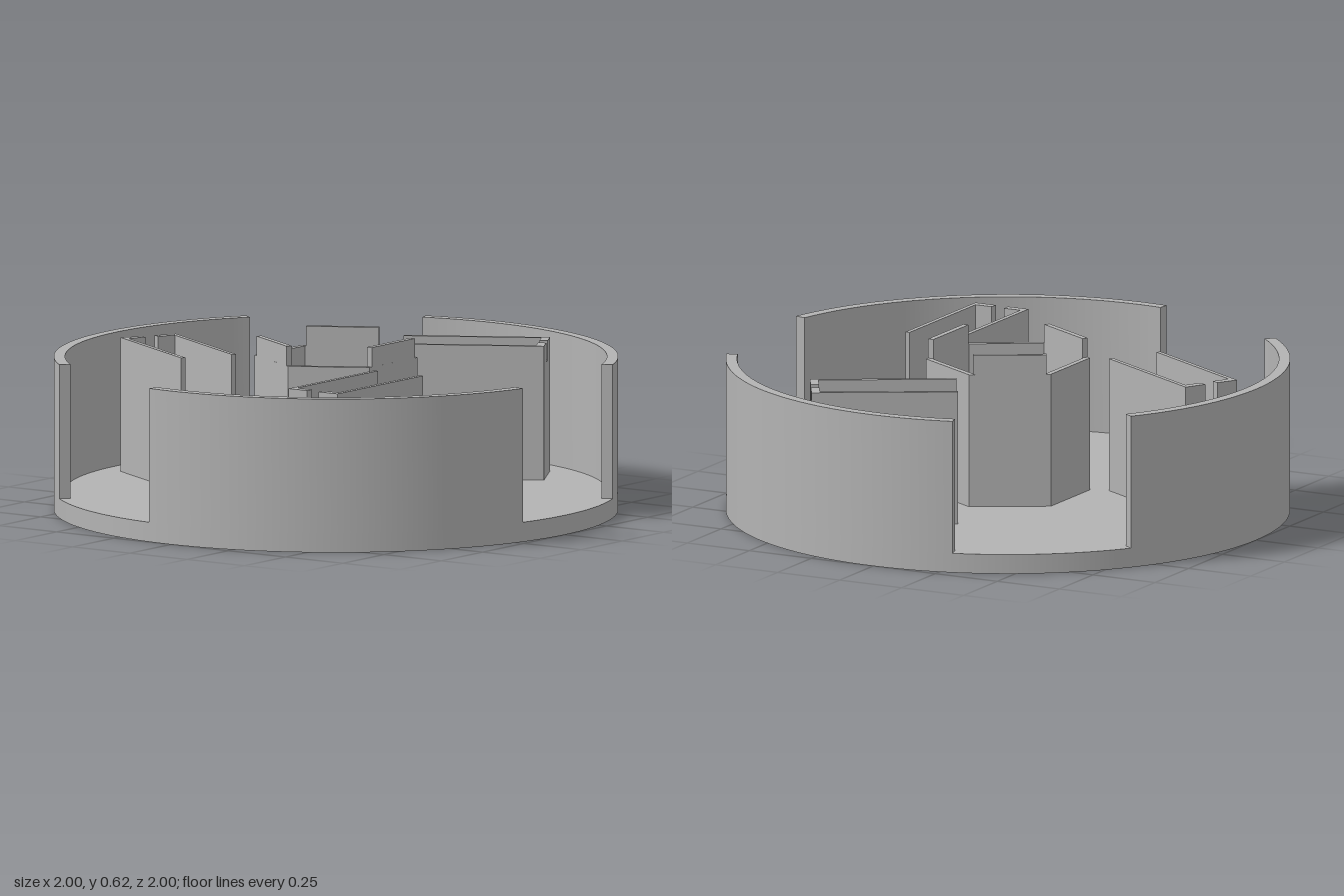
import * as THREE from 'three';
import { toCreasedNormals } from 'three/addons/utils/BufferGeometryUtils.js';

const FLOOR = 0.07, RIM = 0.55, CROWN = 0.62;
const rad = THREE.MathUtils.degToRad;

export function createModel() {
  const grey = new THREE.MeshStandardMaterial({ color: 0xb3b3b3 });
  grey.name = 'plain grey';
  const model = new THREE.Group();
  model.name = 'roundHousing';

  const add = (parent, name, geometry) => {
    const mesh = new THREE.Mesh(geometry, grey);
    mesh.name = name;
    parent.add(mesh);
    return mesh;
  };
  // Box given by its limits on each axis
  const addBox = (parent, name, x0, x1, y0, y1, z0, z1) =>
    add(parent, name, new THREE.BoxGeometry(x1 - x0, y1 - y0, z1 - z0))
      .position.set((x0 + x1) / 2, (y0 + y1) / 2, (z0 + z1) / 2);
  // Plan outline (x, z) raised between two heights
  const raise = (shape, y0, y1) => {
    const g = new THREE.ExtrudeGeometry(shape, { depth: y1 - y0, bevelEnabled: false, curveSegments: 40 });
    return toCreasedNormals(g.rotateX(Math.PI / 2).translate(0, y1, 0), 0.5);
  };
  const hexagon = (r) => Array.from({ length: 6 }, (_, i) =>
    new THREE.Vector2(r * Math.cos(i * Math.PI / 3), r * Math.sin(i * Math.PI / 3)));

  // Round base plate
  add(model, 'basePlate', new THREE.CylinderGeometry(1, 1, FLOOR, 128)).position.y = FLOOR / 2;

  // Hollow hexagonal hub
  const hub = new THREE.Shape(hexagon(0.29));
  hub.holes.push(new THREE.Path(hexagon(0.266).reverse()));
  add(model, 'hexHub', raise(hub, FLOOR, RIM));

  // Open holder with a notched end, raised floor and low lip
  const makeHolder = () => {
    const holder = new THREE.Group();
    holder.name = 'holder';
    addBox(holder, 'sideWall', -0.71, -0.19, FLOOR, RIM, 0.303, 0.32);
    addBox(holder, 'sideWall', -0.71, -0.19, FLOOR, RIM, 0.5, 0.517);
    addBox(holder, 'endWall', -0.71, -0.68, FLOOR, 0.48, 0.32, 0.5);
    addBox(holder, 'notchPost', -0.71, -0.68, 0.48, RIM, 0.32, 0.385);
    addBox(holder, 'notchPost', -0.71, -0.68, 0.48, RIM, 0.435, 0.5);
    const profile = new THREE.Shape([
      [-0.68, FLOOR], [-0.19, FLOOR], [-0.19, 0.22], [-0.21, 0.23],
      [-0.265, 0.23], [-0.305, 0.14], [-0.68, 0.14],
    ].map(([x, y]) => new THREE.Vector2(x, y)));
    add(holder, 'floorAndLip',
      new THREE.ExtrudeGeometry(profile, { depth: 0.18, bevelEnabled: false }).translate(0, 0, 0.32));
    return holder;
  };

  // Three-fold parts: outer wall, raised hub side and holder
  for (let i = 0; i < 3; i++) {
    const sector = new THREE.Group();
    sector.name = 'sector';
    sector.rotation.y = i * Math.PI * 2 / 3;

    const arc = new THREE.Shape();
    arc.absarc(0, 0, 1, rad(102.8), rad(185.7), false);
    arc.absarc(0, 0, 0.96, rad(185.7), rad(102.8), true);
    arc.closePath();
    add(sector, 'outerWall', raise(arc, FLOOR, RIM));

    addBox(sector, 'hubTab', -0.13, 0.13, RIM, CROWN, 0.23, 0.251);
    sector.add(makeHolder());
    model.add(sector);
  }
  return model;
}
